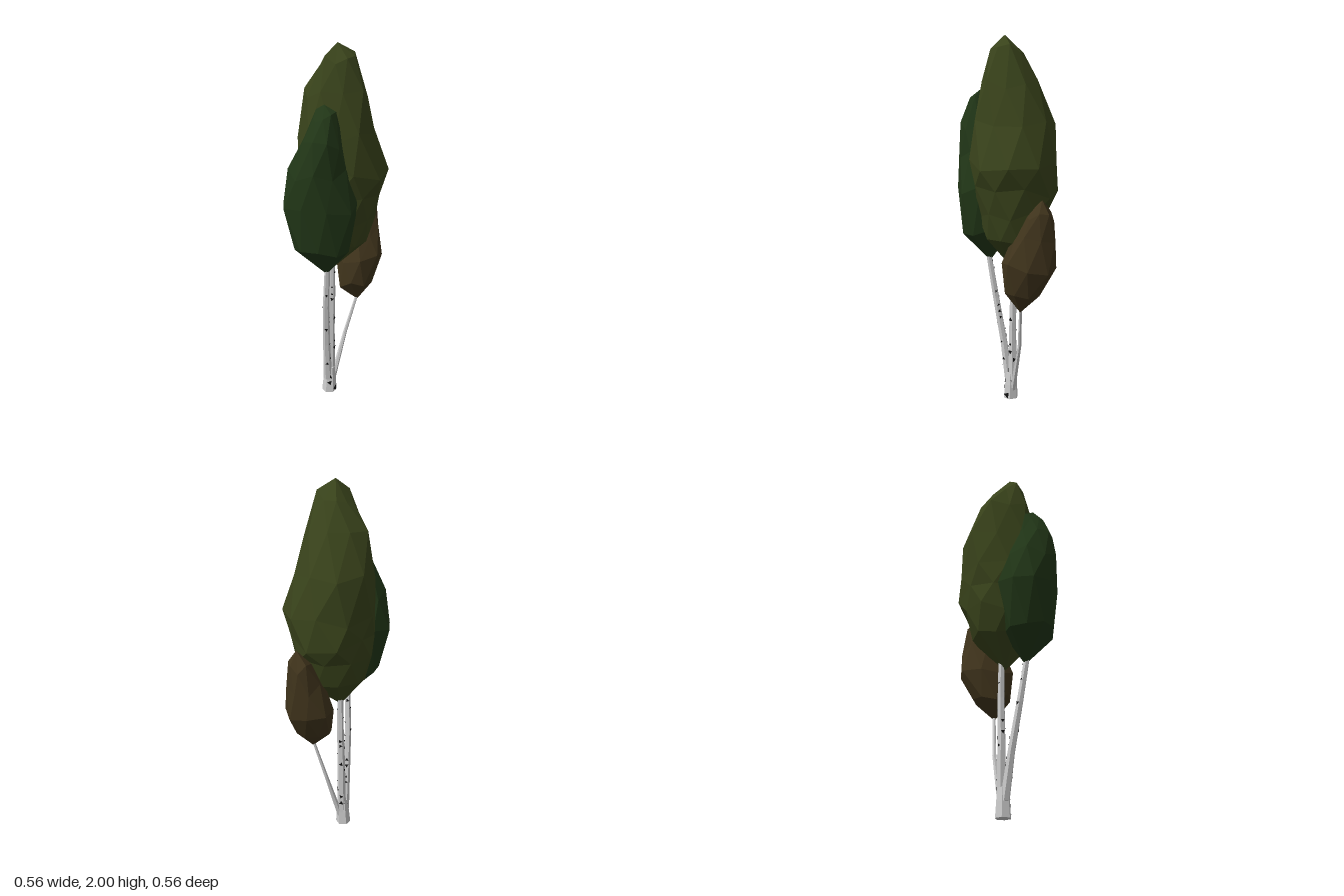
import * as THREE from 'three';
import { mergeGeometries } from 'three/addons/utils/BufferGeometryUtils.js';

// small seeded random in [-1, 1]
function seeded(seed) {
  let s = seed;
  return () => {
    s = (s * 16807) % 2147483647;
    return (s / 2147483647) * 2 - 1;
  };
}

// rings: [y, xMin, xMax, zMin, zMax] from bottom to top, lofted into a faceted skin
function loft(rings, sides, { twist = 0, jitter = 0, seed = 7 } = {}) {
  const rnd = seeded(seed);
  const rows = rings.map(([y, x0, x1, z0, z1], i) => {
    const swell = 1 + jitter * 0.5;
    const isTip = x1 - x0 < 0.001;
    return Array.from({ length: sides }, (_, j) => {
      const a = ((j + i * twist) / sides) * Math.PI * 2;
      const k = swell * (1 + rnd() * jitter);
      const dy = isTip ? 0 : rnd() * jitter * 0.5;
      return [
        (x0 + x1) / 2 + Math.cos(a) * k * (x1 - x0) / 2,
        y + dy,
        (z0 + z1) / 2 + Math.sin(a) * k * (z1 - z0) / 2
      ];
    });
  });
  const pos = [];
  const tri = (...p) => p.forEach((v) => pos.push(...v));
  for (let i = 0; i < rows.length - 1; i++) {
    for (let j = 0; j < sides; j++) {
      const n = (j + 1) % sides;
      const a = rows[i][j], b = rows[i][n], c = rows[i + 1][j], d = rows[i + 1][n];
      tri(a, c, b);
      tri(b, c, d);
    }
  }
  const geo = new THREE.BufferGeometry();
  geo.setAttribute('position', new THREE.Float32BufferAttribute(pos, 3));
  geo.computeVertexNormals();
  return geo;
}

const flat = (color) => new THREE.MeshStandardMaterial({ color, flatShading: true });

const tip = (x, y, z) => [y, x, x, z, z];

function crown(name, color, rings, sides, seed) {
  const mesh = new THREE.Mesh(loft(rings, sides, { twist: 0.5, jitter: 0.06, seed }), flat(color));
  mesh.name = name;
  return mesh;
}

// path points: [x, y, z, radius]
function stem(name, path) {
  const rings = path.map(([x, y, z, r]) => [y, x - r, x + r, z - r, z + r]);
  const [x0, y0, z0] = path[0];
  const [x1, y1, z1] = path[path.length - 1];
  const mesh = new THREE.Mesh(
    loft([tip(x0, y0, z0), ...rings, tip(x1, y1, z1)], 6), flat(0xcccccc));
  mesh.name = name;
  return mesh;
}

// little dark triangles lying on the flat sides of a stem
function barkMarks(path, count, seed) {
  const rnd = seeded(seed);
  const geos = [];
  const dummy = new THREE.Object3D();
  for (let i = 0; i < count; i++) {
    const t = ((i + 0.5) / count) * (path.length - 1);
    const k = Math.floor(t), f = t - k;
    const [x, y, z, r] = path[k].map((v, n) => v + (path[k + 1][n] - v) * f);
    const a = (Math.floor((rnd() + 1) * 3) + 0.5) * Math.PI / 3;
    const out = new THREE.Vector3(Math.cos(a), 0, Math.sin(a));
    dummy.position.set(x, y, z).addScaledVector(out, r * 0.866 + 0.003);
    dummy.lookAt(dummy.position.clone().add(out));
    dummy.rotateZ(rnd() * 3);
    dummy.updateMatrix();
    geos.push(new THREE.CircleGeometry(0.45 * r + 0.002 + 0.003 * rnd(), 3).applyMatrix4(dummy.matrix));
  }
  return geos;
}

export function createModel() {
  const tree = new THREE.Group();
  tree.name = 'birchTree';

  // foliage
  tree.add(crown('mainCrown', 0x39431b, [
    tip(-0.02, 0.775, -0.01),
    [0.96, -0.155, 0.175, -0.185, 0.105],
    [1.08, -0.19, 0.215, -0.235, 0.14],
    [1.2, -0.2, 0.235, -0.26, 0.165],
    [1.34, -0.19, 0.275, -0.28, 0.185],
    [1.54, -0.18, 0.21, -0.245, 0.18],
    [1.75, -0.155, 0.165, -0.165, 0.13],
    [1.92, -0.075, 0.1, -0.085, 0.09],
    tip(0.01, 2, 0.01)
  ], 9, 11));

  tree.add(crown('frontCrown', 0x213617, [
    tip(-0.05, 0.79, 0.1),
    [0.97, -0.22, 0.075, 0.0, 0.262],
    [1.2, -0.28, 0.105, -0.035, 0.28],
    [1.37, -0.235, 0.05, 0.0, 0.278],
    [1.54, -0.17, 0.035, 0.03, 0.262],
    [1.66, -0.115, 0.0, 0.09, 0.21],
    tip(-0.06, 1.72, 0.155)
  ], 9, 29));

  tree.add(crown('lowCrown', 0x40341c, [
    tip(0.125, 0.55, -0.09),
    [0.66, 0.025, 0.215, -0.205, -0.005],
    [0.81, 0.005, 0.262, -0.285, -0.002],
    [0.96, 0.065, 0.25, -0.28, -0.05],
    [1.08, 0.12, 0.235, -0.27, -0.13],
    tip(0.19, 1.17, -0.21)
  ], 8, 53));

  // stems, joined in one stump
  const stump = [[-0.037, 0, -0.017, 0.042], [-0.034, 0.08, -0.018, 0.036], [-0.033, 0.15, -0.018, 0.027]];
  const middle = [[-0.028, 0.08, -0.028, 0.026], [-0.026, 0.4, -0.028, 0.021], [-0.02, 0.62, -0.032, 0.019], [-0.02, 0.95, -0.03, 0.015]];
  const front = [[-0.045, 0.08, -0.008, 0.025], [-0.052, 0.32, 0.025, 0.02], [-0.055, 0.58, 0.07, 0.018], [-0.045, 0.9, 0.12, 0.014]];
  const side = [[-0.02, 0.05, -0.03, 0.017], [0.055, 0.34, -0.078, 0.011], [0.125, 0.58, -0.092, 0.008], [0.14, 0.7, -0.11, 0.006]];
  tree.add(
    stem('stump', stump), stem('middleStem', middle),
    stem('frontStem', front), stem('sideBranch', side));

  // bark marks
  const marks = new THREE.Mesh(
    mergeGeometries([
      ...barkMarks(stump, 4, 5), ...barkMarks(middle, 22, 17), ...barkMarks(front, 22, 41)
    ]),
    new THREE.MeshStandardMaterial({ color: 0x111111, side: THREE.DoubleSide }));
  marks.name = 'barkMarks';
  tree.add(marks);

  return tree;
}
